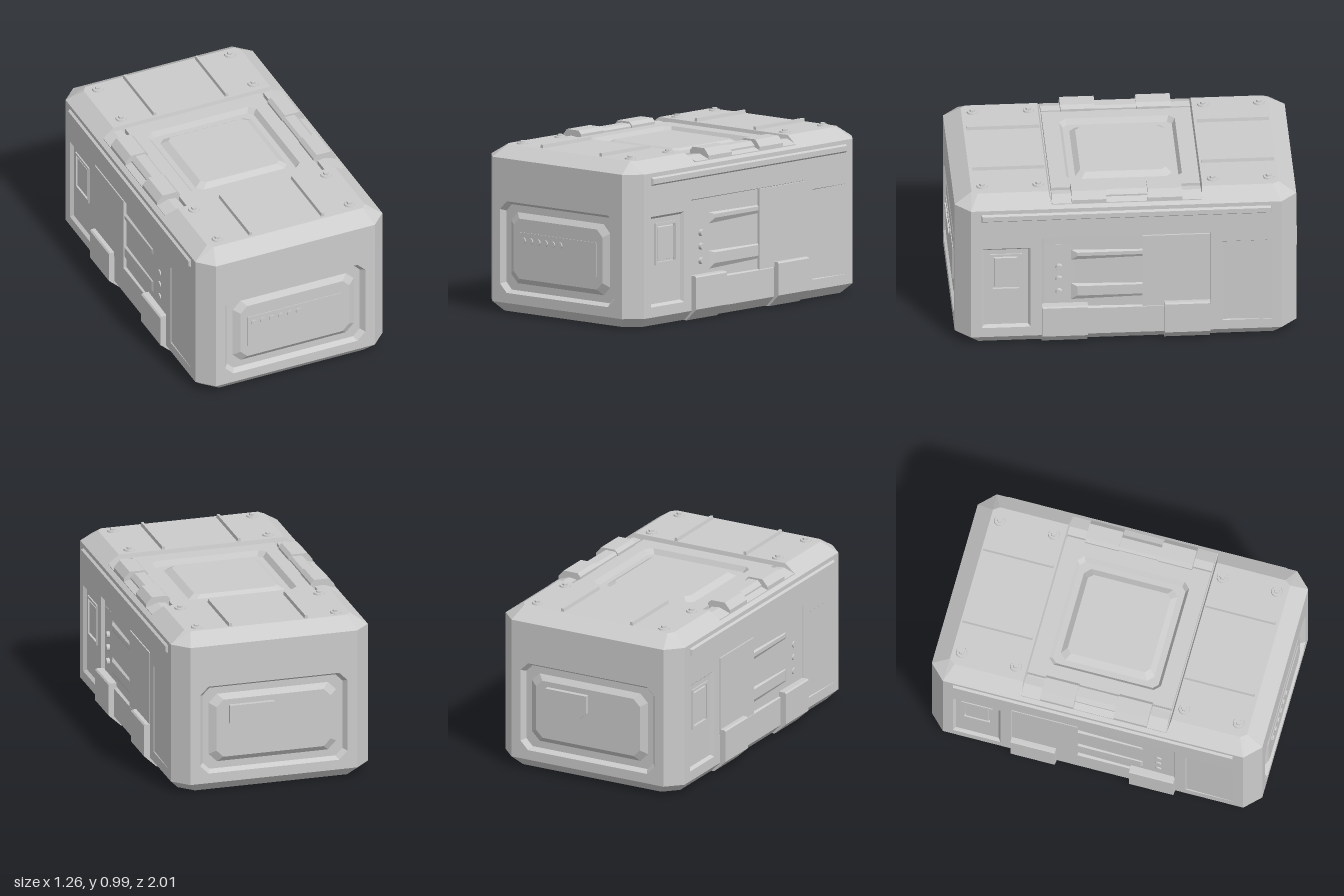
import * as THREE from 'three';
import { ConvexGeometry } from 'three/addons/geometries/ConvexGeometry.js';

const grey = new THREE.MeshStandardMaterial({ color: 0xcccccc, flatShading: true });
const MID = 0.01;   // z centre of the case
const DEPTH = 0.03; // depth of the recesses in the walls

function add(parent, name, geometry, x = 0, y = 0, z = 0) {
  const mesh = new THREE.Mesh(geometry, grey);
  mesh.name = name;
  mesh.position.set(x, y, z);
  parent.add(mesh);
  return mesh;
}

// Rectangle with cut corners, counter-clockwise; a plain rectangle when cut is 0
function outline(cx, cy, hw, hh, cut = 0) {
  const p = cut
    ? [[hw, -hh + cut], [hw, hh - cut], [hw - cut, hh], [-hw + cut, hh],
       [-hw, hh - cut], [-hw, -hh + cut], [-hw + cut, -hh], [hw - cut, -hh]]
    : [[hw, -hh], [hw, hh], [-hw, hh], [-hw, -hh]];
  return p.map(([x, y]) => new THREE.Vector2(cx + x, cy + y));
}

const v2 = pts => pts.map(([x, y]) => new THREE.Vector2(x, y));

// Flat plate between depths z0 and z1, with optional holes
function plate(pts, z0, z1, holes = []) {
  const shape = new THREE.Shape(pts);
  holes.forEach(h => shape.holes.push(new THREE.Path(h)));
  return new THREE.ExtrudeGeometry(shape, { depth: z1 - z0, bevelEnabled: false }).translate(0, 0, z0);
}

// Solid tapering from outline a at depth za to outline b at depth zb
function taper(a, za, b, zb) {
  return new ConvexGeometry([
    ...a.map(p => new THREE.Vector3(p.x, p.y, za)),
    ...b.map(p => new THREE.Vector3(p.x, p.y, zb))]);
}

// Sloping wall from a hole's rim a down to a smaller outline b
function slope(a, za, b, zb) {
  const pos = [];
  a.forEach((p, i) => {
    const j = (i + 1) % a.length, q = a[j], r = b[j], s = b[i];
    pos.push(p.x, p.y, za, q.x, q.y, za, r.x, r.y, zb, p.x, p.y, za, r.x, r.y, zb, s.x, s.y, zb);
  });
  const g = new THREE.BufferGeometry();
  g.setAttribute('position', new THREE.Float32BufferAttribute(pos, 3));
  g.computeVertexNormals();
  return g;
}

// Recessed octagonal field with a raised centre
function raisedField(g, name, edge, cy, hw, hh, cut, gap, bevel) {
  const hole = outline(0, cy, hw, hh, cut);
  add(g, name + 'Wall', plate(edge, -DEPTH, 0, [hole]));
  add(g, name + 'Rim', slope(hole, 0, outline(0, cy, hw - 0.022, hh - 0.018, cut - 0.008), -DEPTH));
  add(g, name + 'Centre', taper(
    outline(0, cy, hw - gap, hh - gap, cut), -DEPTH,
    outline(0, cy, hw - gap - bevel, hh - gap - bevel * 0.8, cut - 0.008), -0.006));
}

// Core, tapered base and the two ends of the lid
function buildBody(g) {
  const D = DEPTH, core = [];
  const plan = [[0.595, 0.9], [0.505, 0.99], [0.505, 0.99 - D], [-0.505, 0.99 - D], [-0.505, 0.99], [-0.595, 0.9], [-0.595 + D, 0.9]];
  plan.forEach(([x, y]) => core.push([x, y]));
  plan.forEach(([x, y]) => core.push([-x, -y]));
  // plan outlines are drawn flat, then laid down so that depth becomes height
  const lay = geo => geo.rotateX(-Math.PI / 2).translate(0, 0, MID);
  add(g, 'core', lay(plate(v2(core), 0.06, 0.905)));
  add(g, 'base', lay(taper(outline(0, 0, 0.54, 0.935, 0.08), 0.003, outline(0, 0, 0.595, 0.99, 0.09), 0.06)));
  add(g, 'channelFloor', lay(taper(outline(0, 0, 0.595, 0.45), 0.905, outline(0, 0, 0.573, 0.45), 0.92)));
  for (const s of [1, -1]) {
    const low = v2([[0.595, 0.43], [0.595, 0.9], [0.505, 0.99], [-0.505, 0.99], [-0.595, 0.9], [-0.595, 0.43]]);
    const high = v2([[0.5, 0.445], [0.5, 0.855], [0.475, 0.89], [-0.475, 0.89], [-0.5, 0.855], [-0.5, 0.445]]);
    const flip = a => a.map(p => new THREE.Vector2(p.x, -s * p.y));
    add(g, s > 0 ? 'frontLid' : 'backLid', lay(taper(flip(low), 0.905, flip(high), 0.97)));
  }
}

// Front and back walls
function buildEnds(g) {
  const edge = outline(0, 0.4825, 0.505, 0.4225);
  const front = new THREE.Group();
  front.name = 'frontWall';
  front.position.z = 1;
  raisedField(front, 'front', edge, 0.387, 0.445, 0.268, 0.05, 0.06, 0.04);
  add(front, 'controlPlate', plate(outline(0, 0.385, 0.302, 0.1), -0.008, -0.002));
  for (let i = 0; i < 6; i++)
    add(front, 'indicator', new THREE.CylinderGeometry(0.018, 0.018, 0.016, 16).rotateX(Math.PI / 2), -0.264 + i * 0.057, 0.44, -0.002);
  const back = new THREE.Group();
  back.name = 'backWall';
  back.position.z = -0.98;
  back.rotation.y = Math.PI;
  raisedField(back, 'back', edge, 0.387, 0.445, 0.268, 0.05, 0.06, 0.04);
  const badge = v2([[0, 0.53], [-0.27, 0.53], [-0.27, 0.42], [-0.21, 0.37], [-0.06, 0.37], [0, 0.42]]);
  add(back, 'backPlate', plate(badge, -0.01, 0.02));
  g.add(front, back);
}

// One long side wall; s is +1 for the left (+x) and -1 for the right
function buildSide(s) {
  const g = new THREE.Group();
  g.name = s > 0 ? 'leftWall' : 'rightWall';
  g.position.x = s * 0.595;
  g.rotation.y = s * Math.PI / 2;
  // rectangle from z and y limits
  const rect = (z0, z1, y0, y1, inset = 0, cut = 0) =>
    outline(-s * (z0 + z1) / 2, (y0 + y1) / 2, Math.abs(z1 - z0) / 2 - inset, (y1 - y0) / 2 - inset, cut);
  const bays = [[0.565, 0.85], [-0.83, -0.545]];
  const centre = [-0.48, 0.5, 0.23, 0.71];
  const holes = [...bays.map(b => rect(...b, 0.12, 0.65)), rect(...centre)];
  add(g, 'sideWall', plate(rect(-0.89, 0.91, 0.06, 0.905), -DEPTH, 0, holes));

  // end bays with a framed window
  for (const [a, b] of bays) {
    const m = (a + b) / 2;
    add(g, 'bayRim', slope(rect(a, b, 0.12, 0.65), 0, rect(a, b, 0.12, 0.65, 0.015), -0.018));
    add(g, 'bayFloor', plate(rect(a, b, 0.12, 0.65, 0.005), -DEPTH, -0.018, [rect(m - 0.075, m + 0.075, 0.375, 0.59)]));
    add(g, 'windowFrame', plate(rect(m - 0.093, m + 0.093, 0.36, 0.605), -DEPTH, -0.01, [rect(m - 0.078, m + 0.078, 0.375, 0.59)]));
    add(g, 'windowPane', taper(rect(m - 0.07, m + 0.07, 0.383, 0.582), -DEPTH, rect(m - 0.066, m + 0.066, 0.387, 0.578), -0.014));
  }

  // central bay: vents and buttons in front, a plain cover behind
  add(g, 'centreRim', slope(rect(...centre), 0, rect(...centre, 0.012), -DEPTH));
  add(g, 'slidingCover', plate(rect(-0.475, -0.083, 0.235, 0.705), -DEPTH, 0.003));
  add(g, 'ventPlate', plate(rect(-0.083, 0.48, 0.28, 0.655), -DEPTH, -0.02));
  for (const [y0, y1] of [[0.55, 0.615], [0.285, 0.39]])
    add(g, 'vent', taper(rect(-0.083, 0.33, y0, y1), -0.02, rect(-0.083, 0.295, y0 + 0.03, y1 - 0.012), -0.004));
  for (const y of [0.505, 0.425, 0.34])
    add(g, 'button', new THREE.CylinderGeometry(0.018, 0.021, 0.022, 16).rotateX(Math.PI / 2), -s * 0.4, y, -0.012);

  // upper trim strip
  add(g, 'trimStrip', taper(rect(-0.83, 0.85, 0.83, 0.882), -0.002, rect(-0.825, 0.845, 0.842, 0.872), 0.014));
  return g;
}

// Profile drawn in x and y, swept from z0 to z1, on side s
const sweep = (pts, s, z0, z1) => plate(v2(pts.map(([x, y]) => [s * x, y])), z0, z1);

function buildFeet(g, s) {
  const foot = [[0.37, 0], [0.555, 0], [0.63, 0.07], [0.63, 0.257], [0.622, 0.265], [0.58, 0.265], [0.58, 0.06], [0.53, 0.01], [0.37, 0.01]];
  add(g, 'frontFoot', sweep(foot, s, 0.235, 0.5));
  add(g, 'backFoot', sweep(foot, s, -0.475, -0.21));
}

// Top hatch with its rails and hinge blocks
function buildHatch(g) {
  const hatch = new THREE.Group();
  hatch.name = 'hatch';
  hatch.position.set(0, 0.95, 0.005);
  hatch.rotation.x = -Math.PI / 2;
  raisedField(hatch, 'hatch', outline(0, 0, 0.43, 0.432), 0, 0.345, 0.335, 0.035, 0.055, 0.04);
  g.add(hatch);
  const rail = [[0.45, 0.9], [0.45, 0.945], [0.5, 0.95], [0.57, 0.925], [0.57, 0.9]];
  const hinge = [[0.425, 0.92], [0.425, 0.965], [0.445, 0.985], [0.535, 0.985], [0.57, 0.945], [0.57, 0.9]];
  const pin = [[0.43, 0.92], [0.43, 0.96], [0.445, 0.974], [0.505, 0.974], [0.53, 0.95], [0.53, 0.92]];
  for (const s of [1, -1]) {
    add(g, 'hatchRail', sweep(rail, s, -0.428, 0.438));
    add(g, 'hingePin', sweep(pin, s, -0.12, 0.13));
    add(g, 'frontHinge', sweep(hinge, s, 0.125, 0.325));
    add(g, 'backHinge', sweep(hinge, s, -0.315, -0.115));
  }
}

// Ribs and bolts on the lid
function buildLidDetails(g, s) {
  const rib = [[0.216, 0.96], [0.222, 0.99], [0.236, 0.99], [0.242, 0.96]];
  add(g, 'frontRib', sweep(rib, s, 0.46, 0.88));
  add(g, 'backRib', sweep(rib, s, -0.87, -0.45));
  for (const z of [0.835, 0.51, -0.5, -0.825]) {
    add(g, 'washer', new THREE.CylinderGeometry(0.031, 0.034, 0.01, 16), s * 0.42, 0.974, z);
    add(g, 'bolt', new THREE.CylinderGeometry(0.016, 0.018, 0.012, 6), s * 0.42, 0.983, z);
  }
}

export function createModel() {
  const model = new THREE.Group();
  model.name = 'storageCrate';
  buildBody(model);
  buildEnds(model);
  buildHatch(model);
  for (const s of [1, -1]) {
    model.add(buildSide(s));
    buildFeet(model, s);
    buildLidDetails(model, s);
  }
  return model;
}
